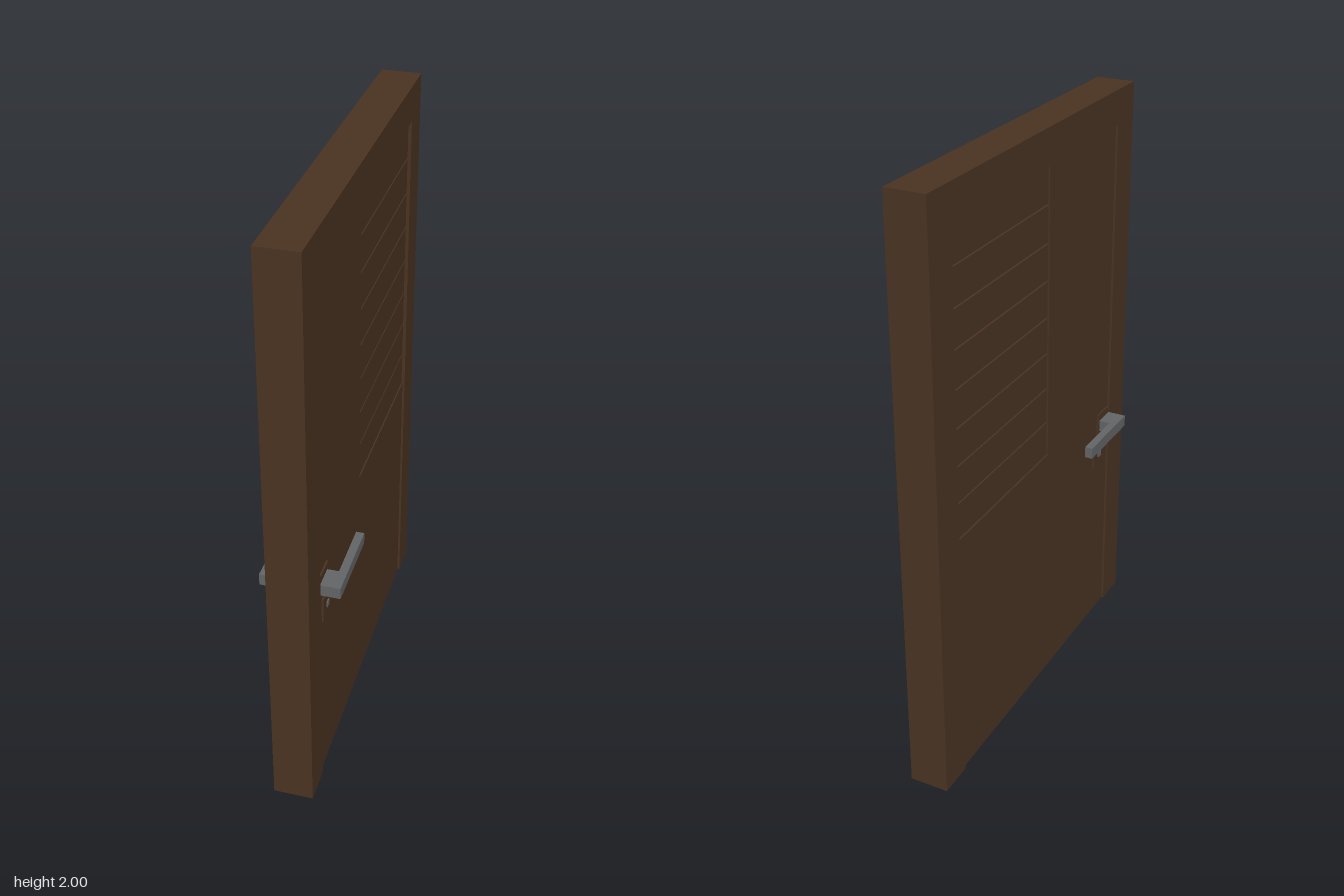
import * as THREE from 'three';

const brown = new THREE.MeshStandardMaterial({ color: 0x4a3322 });
brown.name = 'darkWood';
const grey = new THREE.MeshStandardMaterial({ color: 0x626466 });
grey.name = 'handleMetal';

// Box given by its x, y and z ranges
function box(name, mat, [x0, x1], [y0, y1], [z0, z1]) {
  const mesh = new THREE.Mesh(new THREE.BoxGeometry(x1 - x0, y1 - y0, z1 - z0), mat);
  mesh.position.set((x0 + x1) / 2, (y0 + y1) / 2, (z0 + z1) / 2);
  mesh.name = name;
  return mesh;
}

// Slab whose outline is a list of [z, y] points, centred on x = 0
function slab(name, points, thickness) {
  const shape = new THREE.Shape(points.map(([z, y]) => new THREE.Vector2(-z, y)));
  const geo = new THREE.ExtrudeGeometry(shape, { depth: thickness, bevelEnabled: false });
  geo.translate(0, 0, -thickness / 2);
  geo.rotateY(Math.PI / 2);
  const mesh = new THREE.Mesh(geo, brown);
  mesh.name = name;
  return mesh;
}

export function createModel() {
  const door = new THREE.Group();
  door.name = 'door';
  const T = 0.0665, L = 0.059; // half thickness of frame and leaf

  // Frame around the top and both sides
  door.add(slab('frame', [
    [0.672, 0], [0.672, 2], [-0.672, 2], [-0.672, 0],
    [-0.55, 0], [-0.55, 1.88], [0.55, 1.88], [0.55, 0],
  ], 2 * T));

  // Leaf with an opening in its upper corner
  door.add(slab('leaf', [
    [0.55, 0], [0.55, 1.88], [0.06, 1.88], [0.06, 0.88], [-0.55, 0.88], [-0.55, 0],
  ], 2 * L));

  // Slatted panel in the opening: thin core with flat boards
  const panel = new THREE.Group();
  panel.name = 'slattedPanel';
  panel.add(box('panelCore', brown, [-0.049, 0.049], [0.88, 1.88], [-0.55, 0.06]));
  const count = 8, pitch = 1 / count;
  for (let i = 0; i < count; i++) {
    const y = 0.88 + i * pitch;
    panel.add(box('slat', brown, [-0.056, 0.056], [y + 0.003, y + pitch - 0.003], [-0.547, 0.056]));
  }
  door.add(panel);

  // Handle, backing plates and lock on both faces
  for (const s of [1, -1]) {
    const side = new THREE.Group();
    side.name = s > 0 ? 'leftHandleSet' : 'rightHandleSet';
    const span = (a, b) => (s > 0 ? [a, b] : [-b, -a]);
    side.add(
      box('handlePlate', brown, span(0.055, 0.065), [0.755, 0.845], [0.46, 0.545]),
      box('lockPlate', brown, span(0.055, 0.065), [0.64, 0.73], [0.43, 0.515]),
      box('lock', grey, span(0.055, 0.069), [0.675, 0.695], [0.462, 0.482]),
      box('handleNeck', grey, span(0.055, 0.103), [0.78, 0.82], [0.47, 0.55]),
      box('handleLever', grey, span(0.103, 0.13), [0.78, 0.82], [0.267, 0.55]),
    );
    door.add(side);
  }

  // The whole door stands very slightly turned
  door.rotation.y = -0.009;
  const model = new THREE.Group();
  model.name = 'model';
  model.add(door);
  return model;
}
